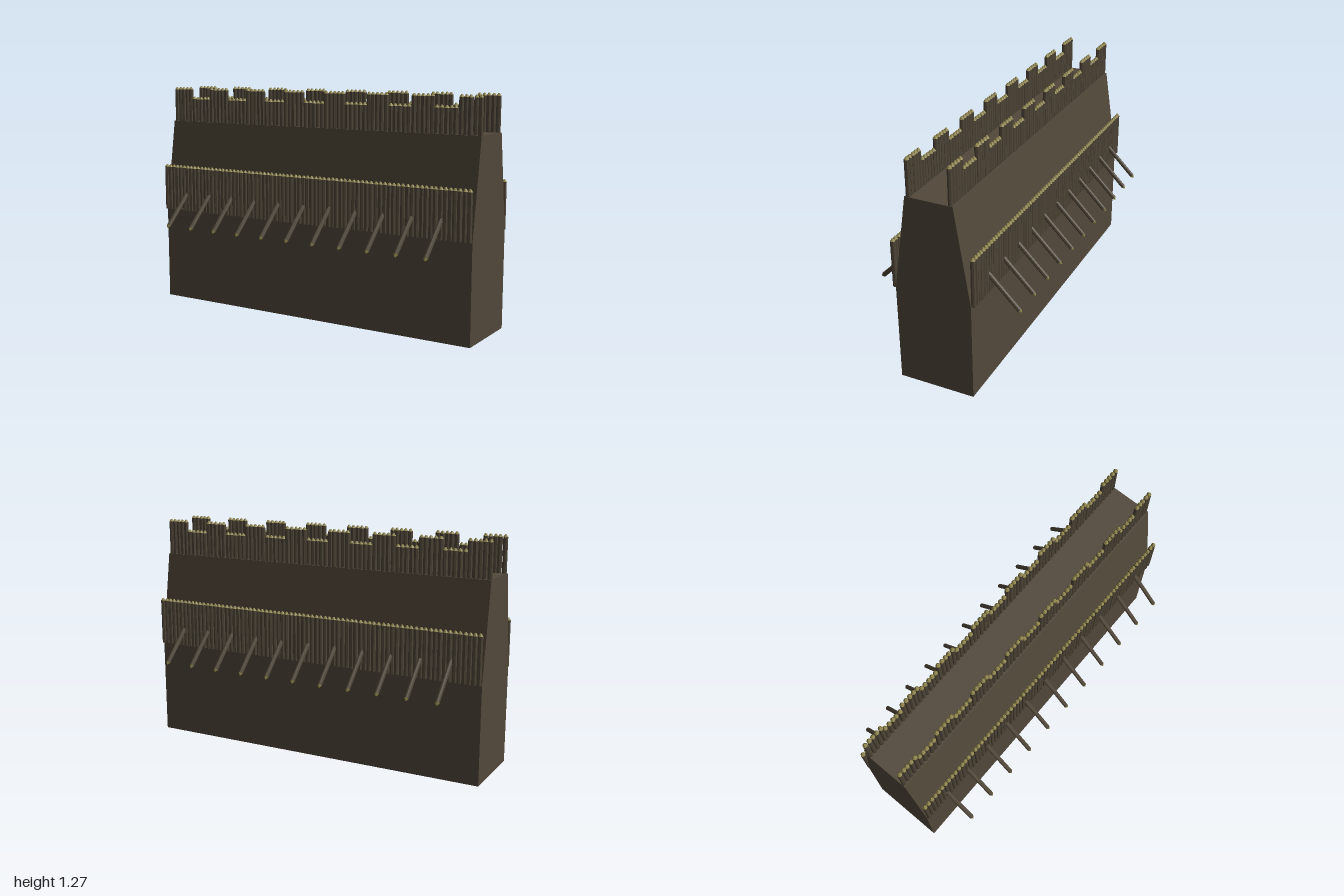
import * as THREE from 'three';
import { mergeGeometries } from 'three/addons/utils/BufferGeometryUtils.js';

const POSTS = 75, PITCH = 2 / POSTS, R = 0.0133;

function flat(geometry) {
  const g = geometry.toNonIndexed();
  g.computeVertexNormals();
  return g;
}

// Upright log standing on y = 0 and its sharpened, freshly cut tip
function stake(length, radius) {
  const tip = 0.014;
  const shaft = flat(new THREE.CylinderGeometry(radius, radius, length - tip, 8).translate(0, (length - tip) / 2, 0));
  const point = flat(new THREE.CylinderGeometry(radius * 0.3, radius, tip, 8).translate(0, length - tip / 2, 0));
  return [shaft, point];
}

export function createModel() {
  const model = new THREE.Group();
  model.name = 'palisadeRampart';

  const earth = new THREE.MeshStandardMaterial({ color: 0x52483a, side: THREE.DoubleSide });
  earth.name = 'earth brown';
  const wood = new THREE.MeshStandardMaterial({ color: 0x4e4537 });
  wood.name = 'weathered wood';
  const cut = new THREE.MeshStandardMaterial({ color: 0x91874f });
  cut.name = 'fresh cut wood';

  let seed = 7;
  const random = () => (seed = (seed * 16807) % 2147483647) / 2147483647;

  // Earth bank: a hollow shell, open underneath
  const section = [[0.21, 0], [0.21, 0.54], [0.129, 1.065], [-0.129, 1.065], [-0.21, 0.54], [-0.21, 0]];
  const verts = [];
  for (let i = 0; i < section.length - 1; i++) {
    const [z0, y0] = section[i], [z1, y1] = section[i + 1];
    verts.push(-1, y0, z0, 1, y0, z0, 1, y1, z1, -1, y0, z0, 1, y1, z1, -1, y1, z1);
  }
  for (let i = 1; i < section.length - 1; i++) {
    const fan = [section[0], section[i], section[i + 1]];
    for (const [z, y] of [...fan].reverse()) verts.push(1, y, z);
    for (const [z, y] of fan) verts.push(-1, y, z);
  }
  // Make every end triangle face outwards
  for (let t = 90; t < verts.length; t += 9) {
    const [a, b, c] = [0, 3, 6].map(k => new THREE.Vector3().fromArray(verts, t + k));
    const n = b.clone().sub(a).cross(c.clone().sub(a));
    if (n.x * a.x < 0) {
      b.toArray(verts, t + 6);
      c.toArray(verts, t + 3);
    }
  }
  const bankGeometry = new THREE.BufferGeometry();
  bankGeometry.setAttribute('position', new THREE.Float32BufferAttribute(verts, 3));
  bankGeometry.computeVertexNormals();
  const bank = new THREE.Mesh(bankGeometry, earth);
  bank.name = 'earthBank';
  model.add(bank);

  // Merge a list of [shaft, tip] pairs into two meshes
  function addStakes(name, pairs, side) {
    const group = new THREE.Group();
    group.name = name;
    [['Shafts', wood], ['Tips', cut]].forEach(([suffix, material], k) => {
      const mesh = new THREE.Mesh(mergeGeometries(pairs.map(p => p[k])), material);
      mesh.name = name + suffix;
      group.add(mesh);
    });
    if (side < 0) group.rotation.y = Math.PI;
    model.add(group);
  }

  // Row of touching posts, with slight wobble in placing
  function postRow(base, z, topAt) {
    const pairs = [];
    for (let i = 0; i < POSTS; i++) {
      const wobble = i === 0 || i === POSTS - 1 ? 0 : (random() - 0.5) * 0.004;
      const x = -1 + (i + 0.5) * PITCH + wobble;
      const turn = random() * Math.PI;
      pairs.push(stake(topAt(i) - base, R).map(g => g.rotateY(turn).translate(x, base, z)));
    }
    return pairs;
  }

  for (const side of [1, -1]) {
    const end = side > 0 ? 'front' : 'back';

    // Battlement: tall and short groups of five posts
    addStakes(end + 'Battlement', postRow(1.06, 0.112, i => (Math.floor(i / 5) % 2 ? 1.212 : 1.268)), side);

    // Breastwork halfway up the bank
    addStakes(end + 'Breastwork', postRow(0.54, 0.2195, () => 0.81), side);

    // Slanting stakes pointing out and down
    const slanted = [];
    for (let i = -5; i <= 5; i++) {
      slanted.push(stake(0.268, 0.0125).map(g => g.rotateX(Math.PI * 0.75).translate(i / 6, 0.654, 0.21)));
    }
    addStakes(end + 'SlantedStakes', slanted, side);
  }
  return model;
}
